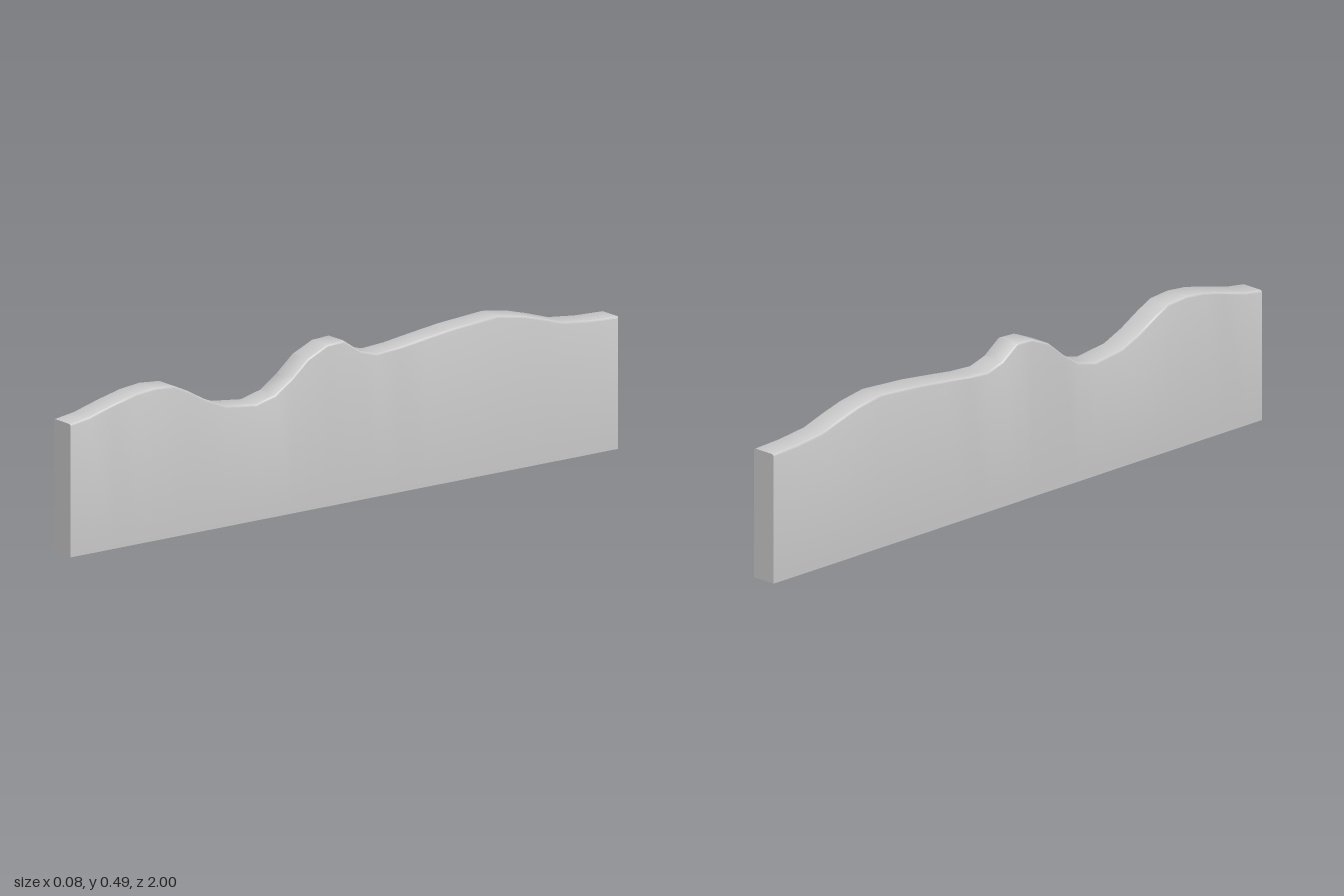
import * as THREE from 'three';
import { toCreasedNormals } from 'three/addons/utils/BufferGeometryUtils.js';

const HALF = 0.04;   // half the thickness
const ROUND = 0.006; // radius of the upper long edges

// Wavy top edge, front to back: [z, height]
const PROFILE = [
  [1, 0.4], [0.93, 0.41], [0.84, 0.434], [0.76, 0.452], [0.69, 0.459], [0.62, 0.453],
  [0.57, 0.43], [0.5, 0.391], [0.43, 0.362], [0.32, 0.349], [0.25, 0.366], [0.19, 0.405],
  [0.13, 0.455], [0.06, 0.485], [0, 0.488], [-0.06, 0.447], [-0.12, 0.43], [-0.2, 0.435],
  [-0.3, 0.448], [-0.4, 0.46], [-0.56, 0.471], [-0.65, 0.457], [-0.72, 0.438],
  [-0.8, 0.413], [-0.9, 0.402], [-1, 0.398],
];

// Cross-section at one station, counterclockwise seen from the front
function section([z, h]) {
  const ring = [[-HALF, 0, z], [HALF, 0, z]];
  for (const side of [1, -1]) {
    for (let k = 0; k <= 3; k++) {
      const a = (side > 0 ? k : 3 - k) * Math.PI / 6;
      ring.push([side * (HALF - ROUND + ROUND * Math.cos(a)), h - ROUND + ROUND * Math.sin(a), z]);
    }
  }
  return ring;
}

function wallGeometry() {
  const rings = PROFILE.map(section);
  const n = rings[0].length;
  const pos = [];
  const tri = (a, b, c) => pos.push(...a, ...b, ...c);

  // Skin between neighbouring sections
  for (let i = 0; i < rings.length - 1; i++) {
    const f = rings[i], b = rings[i + 1];
    for (let j = 0; j < n; j++) {
      const k = (j + 1) % n;
      tri(f[j], b[j], f[k]);
      tri(b[j], b[k], f[k]);
    }
  }
  // Flat ends
  const front = rings[0], back = rings[rings.length - 1];
  for (let j = 1; j < n - 1; j++) {
    tri(front[0], front[j], front[j + 1]);
    tri(back[0], back[j + 1], back[j]);
  }

  const geo = new THREE.BufferGeometry();
  geo.setAttribute('position', new THREE.Float32BufferAttribute(pos, 3));
  return toCreasedNormals(geo, 0.7);
}

export function createModel() {
  const group = new THREE.Group();
  group.name = 'wavyWall';
  const wall = new THREE.Mesh(wallGeometry(), new THREE.MeshStandardMaterial({ color: 0xcccccc }));
  wall.name = 'wallPanel';
  group.add(wall);
  return group;
}
